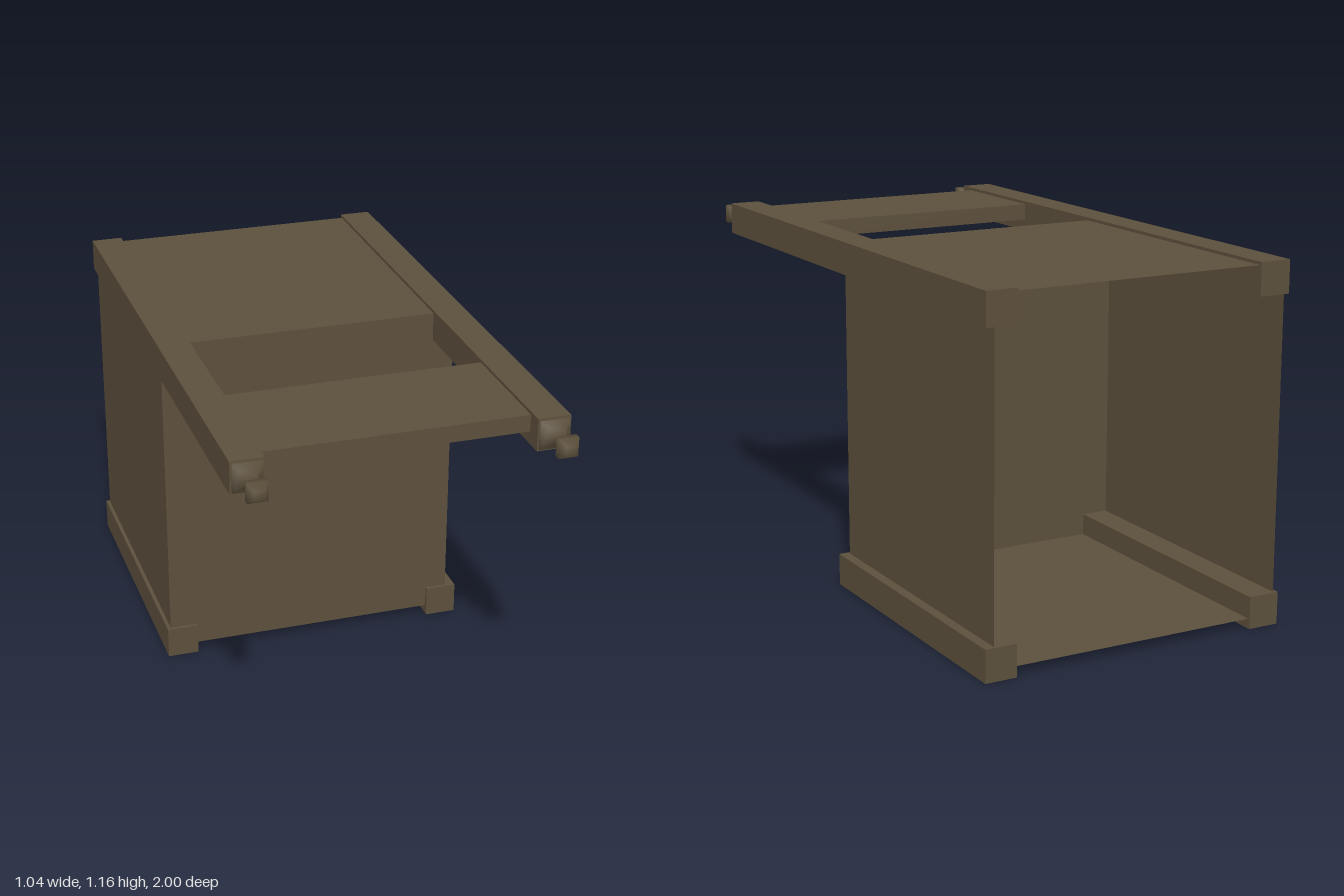
import * as THREE from 'three';

const RAIL = 0.105;   // square rail section
const RAIL_X = 0.47;  // rail centre line

export function createModel() {
  const model = new THREE.Group();
  const wood = new THREE.MeshStandardMaterial({ color: 0x5c503c, side: THREE.DoubleSide });
  wood.name = 'dark wood';

  const add = (name, geometry, x, y, z) => {
    const mesh = new THREE.Mesh(geometry, wood);
    mesh.name = name;
    mesh.position.set(x, y, z);
    model.add(mesh);
    return mesh;
  };
  // Box given by its lower and upper limits
  const box = (name, x0, x1, y0, y1, z0, z1) =>
    add(name, new THREE.BoxGeometry(x1 - x0, y1 - y0, z1 - z0),
      (x0 + x1) / 2, (y0 + y1) / 2, (z0 + z1) / 2);

  // Square turned finial, its axis along +z
  const profile = [
    [0.047, 0], [0.045, 0.01], [0.03, 0.024], [0.019, 0.042], [0.016, 0.06],
    [0.019, 0.066], [0.031, 0.085], [0.031, 0.108], [0.016, 0.13], [0, 0.13],
  ].map(([half, h]) => new THREE.Vector2(half * Math.SQRT2, h));
  const finialGeometry = new THREE.LatheGeometry(profile, 4).rotateY(Math.PI / 4).rotateX(Math.PI / 2);

  // Long upper rails with finials, short lower rails
  for (const [side, s] of [['left', 1], ['right', -1]]) {
    const a = s * RAIL_X - RAIL / 2, b = s * RAIL_X + RAIL / 2;
    box(side + 'UpperRail', a, b, 1.055, 1.16, -1, 0.87);
    box(side + 'LowerRail', a, b, 0, RAIL, -1, 0);
    add(side + 'Finial', finialGeometry, s * RAIL_X, 1.108, 0.87);
  }

  // Cross board between the upper rails
  box('crossBoard', -0.42, 0.42, 1.095, 1.15, 0.41, 0.815);

  // Thin-walled case, open at the back
  const X0 = -0.51, X1 = 0.49, Y0 = 0.032, Y1 = 1.15, Z0 = -0.992, Z1 = -0.012;
  const w = X1 - X0, h = Y1 - Y0, d = Z1 - Z0;
  const cx = (X0 + X1) / 2, cy = (Y0 + Y1) / 2, cz = (Z0 + Z1) / 2;
  add('frontPanel', new THREE.PlaneGeometry(w, h), cx, cy, Z1);
  add('leftPanel', new THREE.PlaneGeometry(d, h).rotateY(Math.PI / 2), X1, cy, cz);
  add('rightPanel', new THREE.PlaneGeometry(d, h).rotateY(-Math.PI / 2), X0, cy, cz);
  add('topPanel', new THREE.PlaneGeometry(w, d).rotateX(-Math.PI / 2), cx, Y1, cz);
  add('bottomPanel', new THREE.PlaneGeometry(w, d).rotateX(Math.PI / 2), cx, Y0, cz);

  return model;
}
